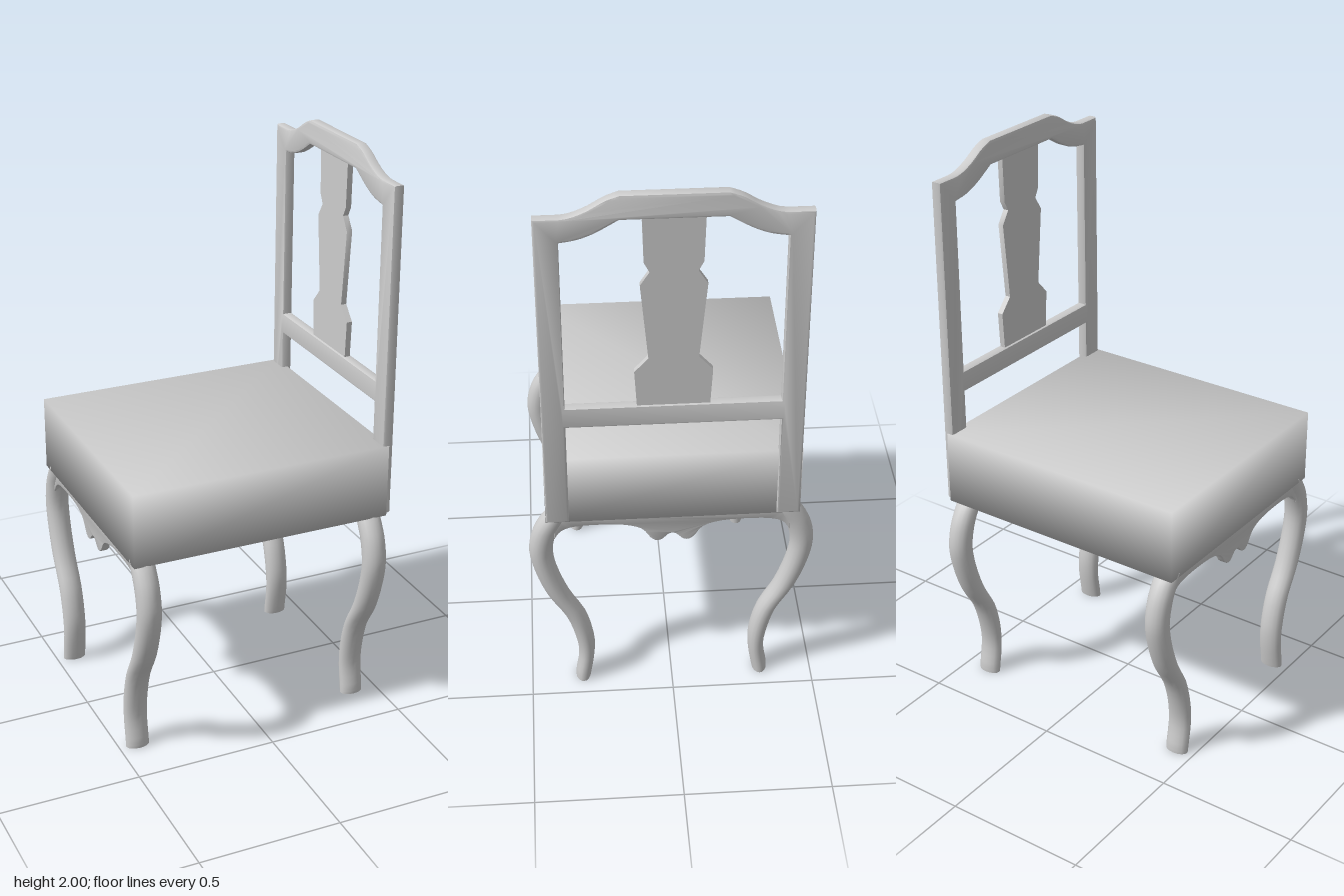
import * as THREE from 'three';
import { mergeVertices, toCreasedNormals } from 'three/addons/utils/BufferGeometryUtils.js';

const material = new THREE.MeshStandardMaterial({ color: 0xcccccc });

function addMesh(parent, name, geometry) {
  const mesh = new THREE.Mesh(geometry, material);
  mesh.name = name;
  parent.add(mesh);
  return mesh;
}

// Mirrors a half outline given as [z, y] pairs running from the +z side to the middle
const mirrored = (half) => [
  ...half,
  ...half.filter(([z]) => z !== 0).reverse().map(([z, y]) => [-z, y]),
];
const toPoints = (pairs) => pairs.map(([z, y]) => new THREE.Vector2(z, y));

// Extrudes a [z, y] shape along x, centred on xMid, with softened edges
function panel(shape, xMid, thickness, bevel) {
  const depth = thickness - 2 * bevel;
  const geometry = new THREE.ExtrudeGeometry(shape, {
    depth, bevelEnabled: bevel > 0, bevelSize: bevel, bevelThickness: bevel,
    bevelOffset: -bevel, bevelSegments: 2, curveSegments: 8,
  });
  geometry.translate(0, 0, -depth / 2);
  geometry.rotateY(-Math.PI / 2);
  geometry.translate(xMid, 0, 0);
  return toCreasedNormals(geometry, 0.7);
}

// Smooth S-curve through [z, y] pairs
const smooth = (pairs, n = 10) =>
  new THREE.SplineCurve(toPoints(pairs)).getPoints(n).map((p) => [p.x, p.y]);

// Cabriole leg: oval rings lofted through [y, outer z, inner z] stations
function legGeometry() {
  const stations = [
    [0, 0.343, 0.292], [0.02, 0.343, 0.288], [0.11, 0.33, 0.275], [0.185, 0.339, 0.275],
    [0.29, 0.37, 0.3], [0.4, 0.434, 0.357], [0.52, 0.476, 0.397], [0.6, 0.488, 0.407],
    [0.68, 0.474, 0.388], [0.735, 0.445, 0.36], [0.77, 0.415, 0.35],
  ];
  const curve = new THREE.CatmullRomCurve3(stations.map((s) => new THREE.Vector3(...s)));
  const rings = 32, sides = 16, halfWidth = 0.042;
  const positions = [], index = [];
  for (let i = 0; i <= rings; i++) {
    const { x: y, y: outer, z: inner } = curve.getPoint(i / rings);
    for (let j = 0; j < sides; j++) {
      const a = (j / sides) * Math.PI * 2;
      positions.push(halfWidth * Math.sin(a), y, (outer + inner) / 2 + (outer - inner) / 2 * Math.cos(a));
      if (i === rings) continue;
      const k = i * sides + j, next = i * sides + (j + 1) % sides;
      index.push(k, next, next + sides, k, next + sides, k + sides);
    }
  }
  // End caps
  const last = rings * sides, bottom = positions.length / 3;
  positions.push(0, 0, 0.3175, 0, 0.772, 0.3825);
  for (let j = 0; j < sides; j++) {
    const n = (j + 1) % sides;
    index.push(bottom, n, j, bottom + 1, last + j, last + n);
  }
  const geometry = new THREE.BufferGeometry();
  geometry.setAttribute('position', new THREE.Float32BufferAttribute(positions, 3));
  geometry.setIndex(index);
  return toCreasedNormals(geometry, 0.9);
}

// Seat block with normals shared across its corners
function seatGeometry() {
  const box = new THREE.BoxGeometry(0.932, 0.263, 0.855);
  box.deleteAttribute('normal');
  box.deleteAttribute('uv');
  const geometry = mergeVertices(box);
  geometry.computeVertexNormals();
  geometry.translate(-0.008, 0.8865, -0.001);
  return geometry;
}

// Back frame: posts, crest rail and cross rail around two openings
function backFrameGeometry() {
  const crestTop = smooth([[0.345, 1.926], [0.31, 1.932], [0.26, 1.953], [0.21, 1.983], [0.165, 2.0]]);
  const crestUnder = smooth([[0.348, 1.842], [0.29, 1.852], [0.235, 1.874], [0.165, 1.915]]);
  const shape = new THREE.Shape(toPoints(mirrored([
    [0.348, 1.155], [0.348, 0.765], [0.425, 0.765], [0.425, 1.926], ...crestTop,
  ])));
  shape.holes.push(new THREE.Path(toPoints(mirrored([[0.348, 1.23], ...crestUnder]))));
  return panel(shape, 0.455, 0.038, 0.008);
}

// Vase-shaped centre splat
function splatGeometry() {
  const outline = mirrored([
    [0.117, 1.22], [0.125, 1.36], [0.08, 1.41], [0.105, 1.68],
    [0.075, 1.727], [0.092, 1.76], [0.097, 1.925],
  ]);
  return panel(new THREE.Shape(toPoints(outline)), 0.455, 0.02, 0);
}

// Scalloped apron under the seat edge
function apronGeometry(x) {
  const lower = smooth([
    [0.4, 0.66], [0.375, 0.695], [0.33, 0.711], [0.25, 0.715], [0.165, 0.71], [0.105, 0.69],
    [0.075, 0.65], [0.055, 0.636], [0.035, 0.64], [0.015, 0.66], [0, 0.667],
  ], 30);
  const outline = mirrored([[0.4, 0.76], ...lower]);
  return panel(new THREE.Shape(toPoints(outline)), x, 0.03, 0.004);
}

export function createModel() {
  const chair = new THREE.Group();
  chair.name = 'chair';

  addMesh(chair, 'seat', seatGeometry());

  const back = new THREE.Group();
  back.name = 'backrest';
  chair.add(back);
  addMesh(back, 'backFrame', backFrameGeometry());
  addMesh(back, 'backSplat', splatGeometry());

  // Legs and aprons at both ends of the seat
  const leg = legGeometry();
  for (const [end, x] of [['front', -0.433], ['rear', 0.405]]) {
    for (const [side, turn] of [['Left', 0], ['Right', Math.PI]]) {
      const mesh = addMesh(chair, `${end}${side}Leg`, leg);
      mesh.position.x = x;
      mesh.rotation.y = turn;
    }
    addMesh(chair, `${end}Apron`, apronGeometry(x + (x > 0 ? 0.015 : -0.01)));
  }
  return chair;
}
